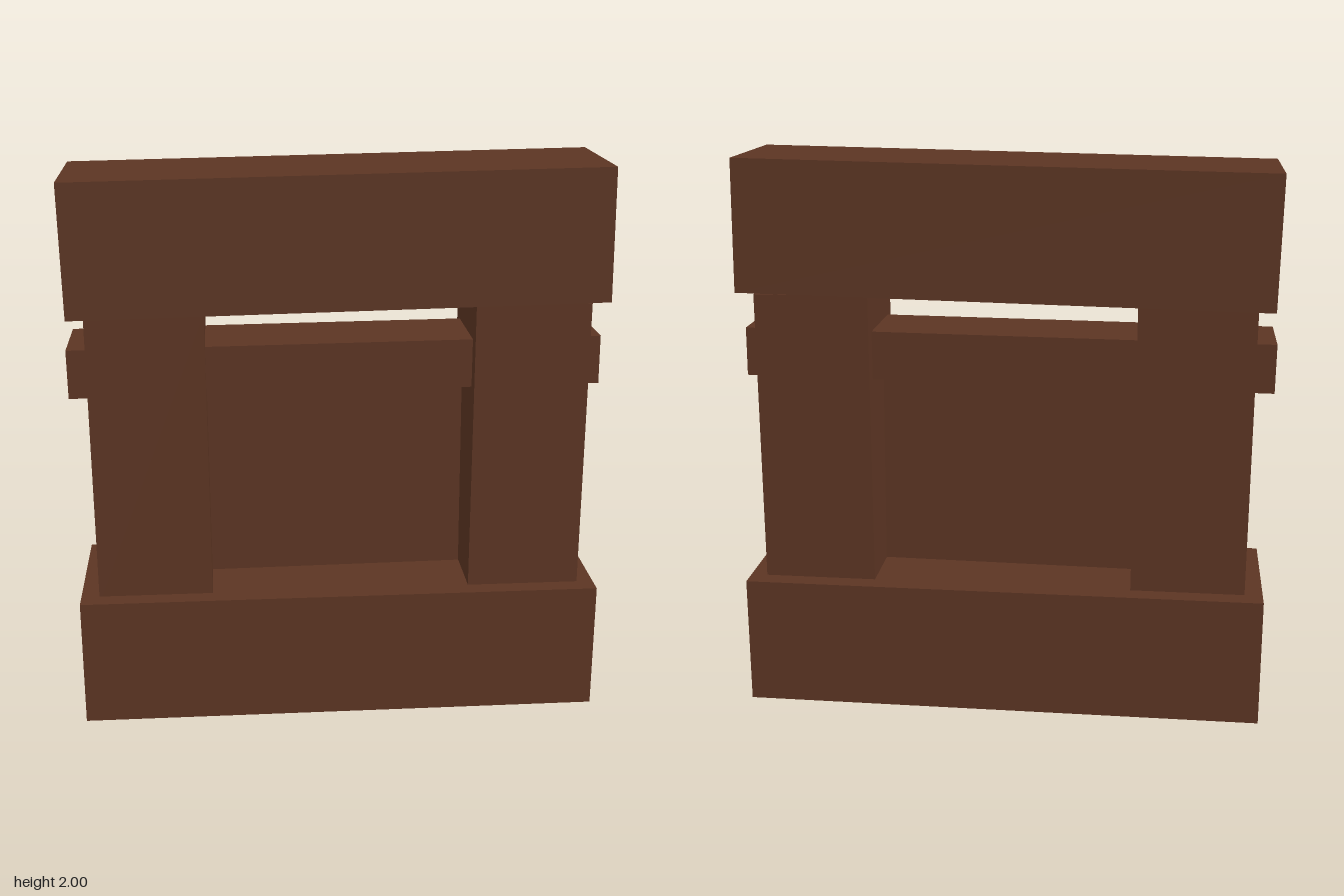
import * as THREE from 'three';

export function createModel() {
  const group = new THREE.Group();
  group.name = 'gate';
  const wood = new THREE.MeshStandardMaterial({ color: 0x5c3523 });
  wood.name = 'brown wood';

  // Box given by size, centre and a slight lean about z (radians)
  function block(name, size, centre, lean = 0) {
    const mesh = new THREE.Mesh(new THREE.BoxGeometry(...size), wood);
    mesh.name = name;
    mesh.position.set(...centre);
    mesh.rotation.z = lean;
    group.add(mesh);
  }

  // Heavy base
  block('base', [1.875, 0.468, 0.545], [0.002, 0.236, 0], -0.001);

  // Posts between base and lintel
  block('rightPost', [0.408, 1.07, 0.408], [-0.668, 0.98, 0.002], 0.003);
  block('leftPost', [0.406, 1.08, 0.408], [0.677, 0.985, 0.002]);

  // Slightly tilted top beam
  block('lintel', [1.87, 0.466, 0.468], [0, 1.7525, 0.003], 0.016);

  // Cross beam running through both posts
  block('crossBeam', [1.875, 0.174, 0.295], [-0.0065, 1.298, 0.002], 0.0077);

  // Thin panel closing the opening
  block('panel', [0.935, 0.76, 0.01], [-0.002, 0.858, 0], 0.008);

  return group;
}
